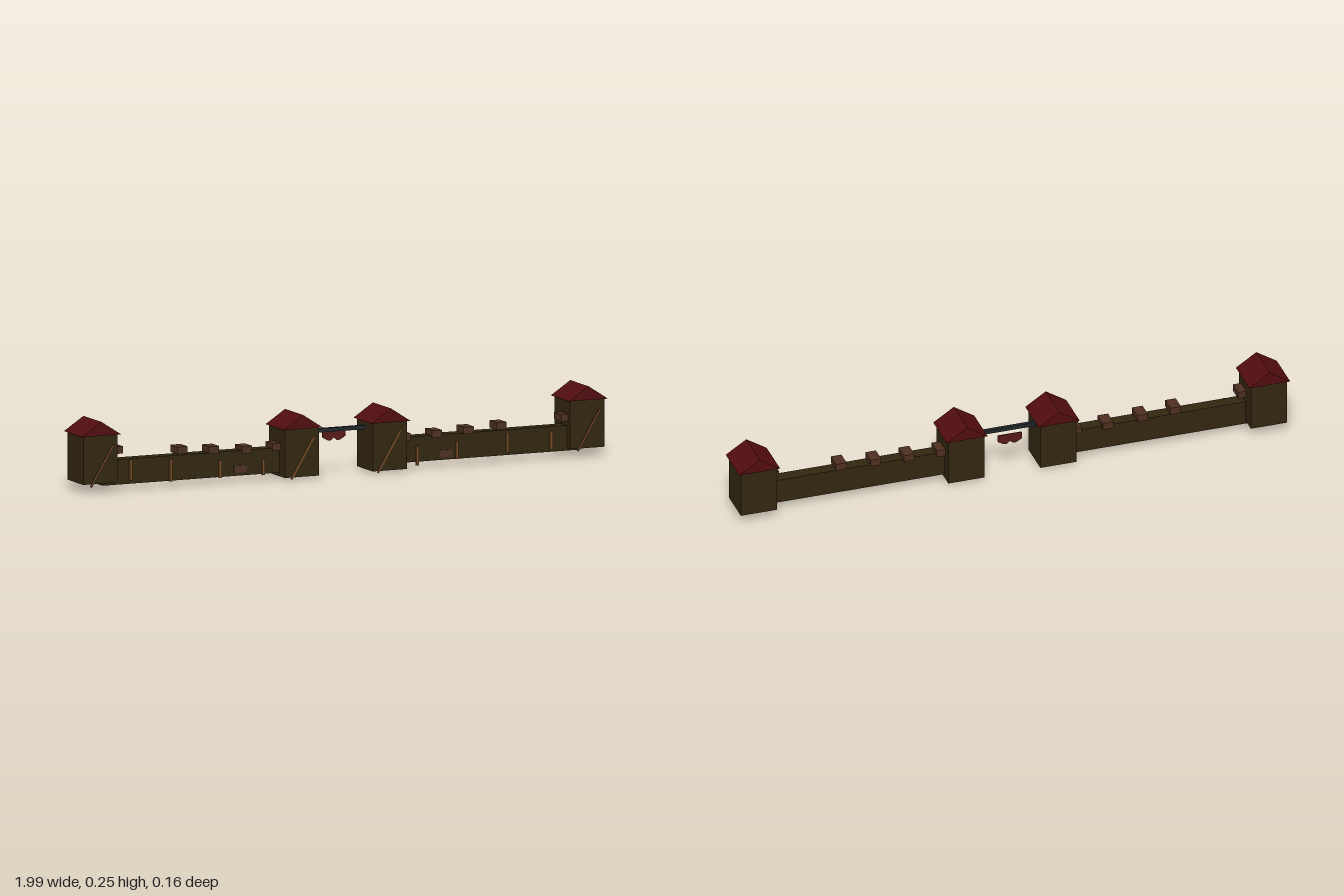
import * as THREE from 'three';

const mat = (name, color) => {
  const m = new THREE.MeshStandardMaterial({ color });
  m.name = name;
  return m;
};

export function createModel() {
  const wood = mat('dark timber', 0x32260f);
  const red = mat('dark red roof', 0x520c0f);
  const brown = mat('brown block', 0x4e2f20);
  const tan = mat('light timber', 0x744a26);
  const iron = mat('iron', 0x20262a);
  const bannerRed = mat('banner red', 0x571a18);
  const root = new THREE.Group();
  root.name = 'palisadeGate';

  const add = (name, geometry, material, x, y, z, parent = root) => {
    const mesh = new THREE.Mesh(geometry, material);
    mesh.name = name;
    mesh.position.set(x, y, z);
    parent.add(mesh);
    return mesh;
  };
  // Box given by its limits on each axis
  const box = (name, material, [x0, x1], [y0, y1], [z0, z1]) =>
    add(name, new THREE.BoxGeometry(x1 - x0, y1 - y0, z1 - z0), material,
      (x0 + x1) / 2, (y0 + y1) / 2, (z0 + z1) / 2);

  // Gable roof with its ridge running front to back
  const roofGeometry = (width, height, depth) => {
    const s = new THREE.Shape();
    s.moveTo(-width / 2, 0);
    s.lineTo(width / 2, 0);
    s.lineTo(0, height);
    s.closePath();
    return new THREE.ExtrudeGeometry(s, { depth, bevelEnabled: false });
  };

  // Square tower with a roof and a diagonal brace standing off the front
  const tower = (name, x, y, z, braceX, braceY) => {
    box(name, wood, [x - 0.065, x + 0.065], [y, y + 0.17], [z - 0.064, z + 0.064]);
    add(name + 'Roof', roofGeometry(0.148, 0.048, 0.147), red, x, y + 0.168, z - 0.0735);
    const brace = add(name + 'Brace', new THREE.BoxGeometry(0.007, 0.165, 0.004), tan,
      braceX, braceY, 0.075);
    brace.rotation.z = -0.54;
  };
  tower('outerRightTower', -0.925, 0.036, -0.0085, -0.928, 0.1);
  tower('outerLeftTower', 0.921, 0.034, -0.0085, 0.918, 0.1);
  tower('innerRightTower', -0.169, 0.011, 0.0095, -0.168, 0.076);
  tower('innerLeftTower', 0.164, 0.011, 0.0095, 0.16, 0.076);

  // Long walls
  box('rightWall', wood, [-0.906, -0.18], [0.024, 0.111], [-0.014, 0.031]);
  box('leftWall', wood, [0.18, 0.906], [0.026, 0.114], [-0.014, 0.031]);

  // Blocks along the wall tops: x, base height
  [[-0.85, 0.132], [-0.605, 0.115], [-0.485, 0.108], [-0.36, 0.1], [-0.245, 0.102],
    [0.24, 0.103], [0.36, 0.106], [0.48, 0.11], [0.605, 0.117], [0.85, 0.129]]
    .forEach(([x, y]) =>
      box('wallBlock', brown, [x - 0.019, x + 0.019], [y, y + 0.025], [-0.021, 0.037]));

  // Upright battens on the wall fronts: x, bottom, top
  [[-0.8, 0.036, 0.108], [-0.648, 0.022, 0.1], [-0.461, 0.022, 0.082], [-0.297, 0.02, 0.076],
    [0.286, 0.014, 0.08], [0.437, 0.026, 0.086], [0.628, 0.036, 0.106], [0.794, 0.034, 0.098]]
    .forEach(([x, y0, y1]) =>
      box('wallBatten', tan, [x - 0.005, x + 0.005], [y0, y1], [0.03, 0.037]));

  // Small patches on the wall fronts
  for (const x of [-0.385, 0.395]) {
    box('wallPatch', brown, [x - 0.024, x + 0.024], [0.035, 0.06], [0.03, 0.035]);
  }

  // Bar across the gateway with a small hanging banner behind it
  box('gateBar', iron, [-0.105, 0.1], [0.149, 0.163], [-0.002, 0.011]);
  const b = new THREE.Shape();
  [[-0.043, 0.15], [-0.043, 0.125], [-0.022, 0.113], [-0.012, 0.113], [0, 0.122],
    [0.012, 0.113], [0.022, 0.113], [0.043, 0.125], [0.043, 0.15]]
    .forEach(([x, y], i) => (i ? b.lineTo(x, y) : b.moveTo(x, y)));
  b.closePath();
  add('banner', new THREE.ExtrudeGeometry(b, { depth: 0.004, bevelEnabled: false }),
    bannerRed, -0.003, 0, -0.027);

  return root;
}
